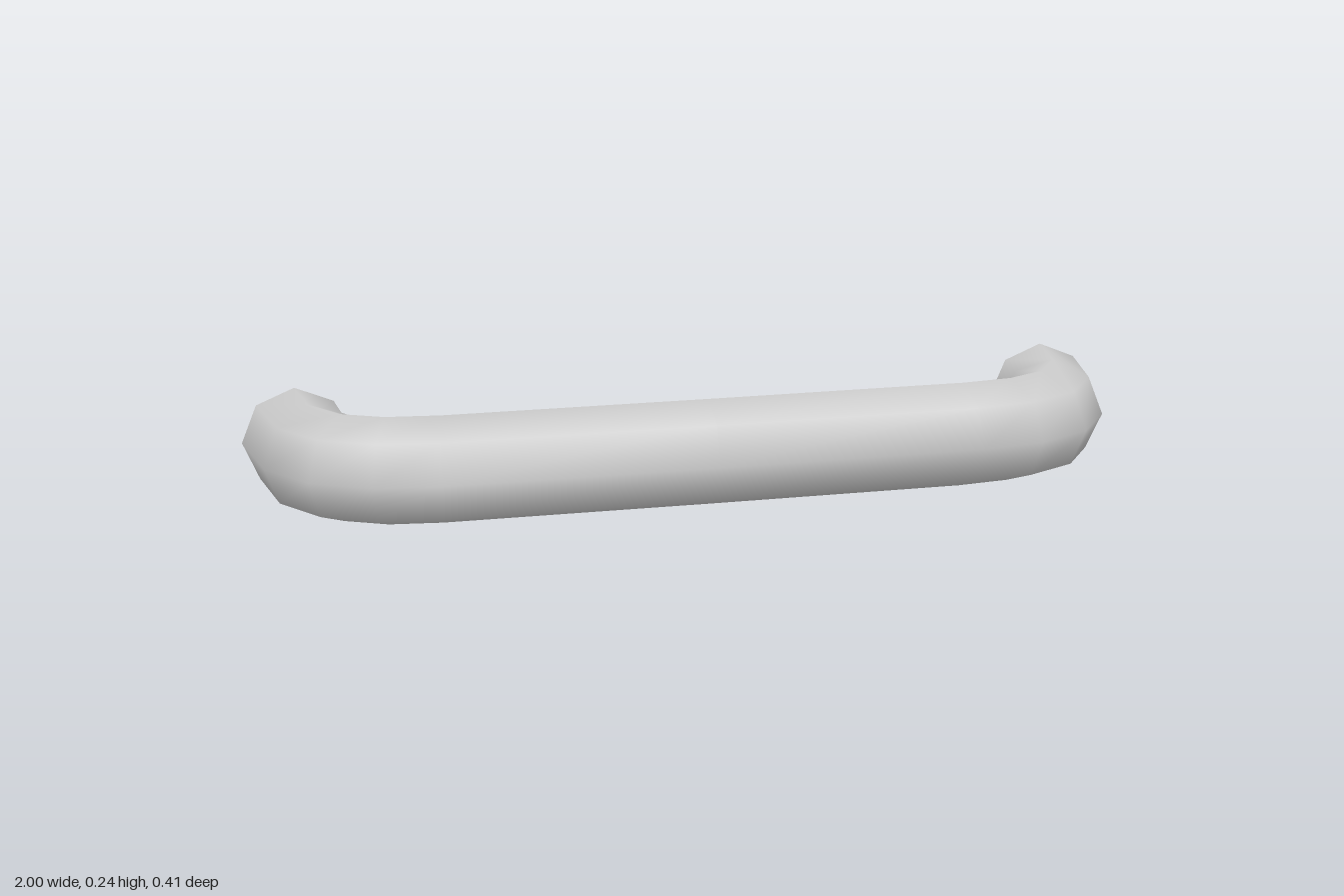
import * as THREE from 'three';

const RADIUS = 0.121;
const SIDES = 8;

// Stations of the bend: centre x, centre z, turn of the outward normal in degrees
const BEND = [
  [-0.879, -0.207, 0],
  [-0.857, -0.065, 31],
  [-0.796, 0.024, 50.5],
  [-0.704, 0.068, 70],
  [-0.586, 0.082, 83],
];

// Octagonal cross-sections swept along the stations, open at both ends
function sweep(stations) {
  const positions = [];
  const index = [];
  stations.forEach(([x, z, degrees], i) => {
    const turn = THREE.MathUtils.degToRad(degrees);
    for (let j = 0; j < SIDES; j++) {
      const phi = (j / SIDES) * Math.PI * 2;
      const out = RADIUS * Math.cos(phi);
      positions.push(
        x - Math.cos(turn) * out,
        RADIUS + RADIUS * Math.sin(phi),
        z + Math.sin(turn) * out
      );
      if (i === 0) continue;
      const k = (j + 1) % SIDES;
      const a = (i - 1) * SIDES + j, b = i * SIDES + j;
      const c = i * SIDES + k, d = (i - 1) * SIDES + k;
      index.push(a, b, c, a, c, d);
    }
  });
  const geometry = new THREE.BufferGeometry();
  geometry.setAttribute('position', new THREE.Float32BufferAttribute(positions, 3));
  geometry.setIndex(index);
  geometry.computeVertexNormals();
  return geometry;
}

export function createModel() {
  const group = new THREE.Group();
  group.name = 'pullHandle';

  // Left-hand bend, straight grip, mirrored bend
  const mirrored = BEND.map(([x, z, turn]) => [-x, z, 180 - turn]).reverse();
  const stations = [...BEND, [0, 0.084, 90], ...mirrored];

  const material = new THREE.MeshStandardMaterial({ color: 0xcccccc, side: THREE.DoubleSide });
  const handle = new THREE.Mesh(sweep(stations), material);
  handle.name = 'handleTube';
  group.add(handle);
  return group;
}
